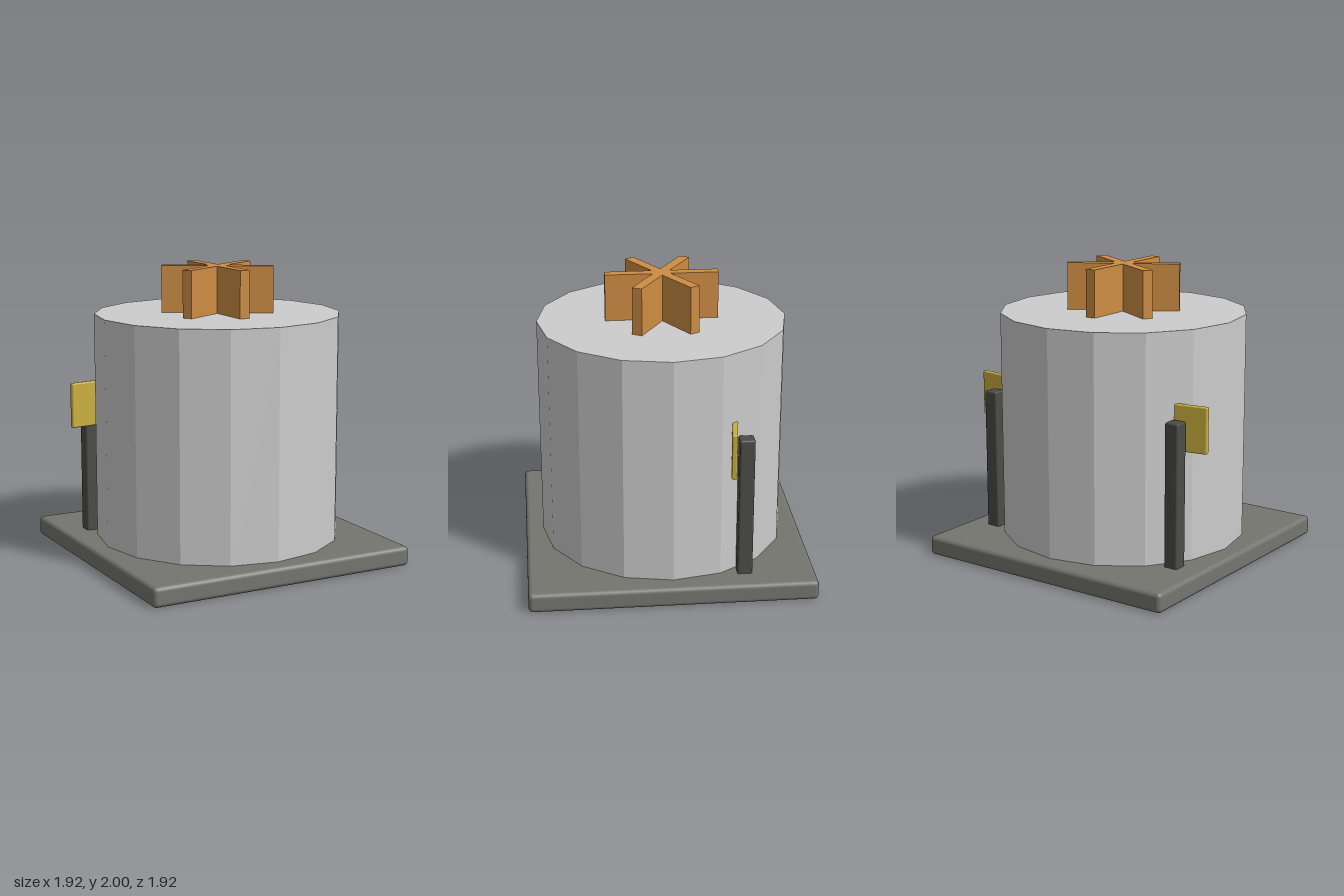
import * as THREE from 'three';
import { RoundedBoxGeometry } from 'three/addons/geometries/RoundedBoxGeometry.js';

function material(name, color, flatShading = false) {
  const m = new THREE.MeshStandardMaterial({ color, flatShading });
  m.name = name;
  return m;
}

export function createModel() {
  const group = new THREE.Group();
  const lightGrey = material('light grey', 0xcccccc, true);
  const stoneGrey = material('stone grey', 0x757570);
  const darkGrey = material('dark grey', 0x4b4c47);
  const orange = material('orange', 0xcd8d43);
  const yellow = material('yellow', 0xcbb03e);

  const add = (name, geometry, mat, x, y, z, turn = 0) => {
    const mesh = new THREE.Mesh(geometry, mat);
    mesh.name = name;
    mesh.position.set(x, y, z);
    mesh.rotation.y = turn;
    group.add(mesh);
  };

  // Square slab with softened edges
  add('base', new RoundedBoxGeometry(1.92, 0.135, 1.92, 3, 0.03), stoneGrey, 0, 0.0675, 0);

  // Sixteen-sided drum, sunk into the slab
  add('drum', new THREE.CylinderGeometry(0.84, 0.84, 1.64, 16), lightGrey, 0, 0.86, 0);

  // Three crossed bars make the six-armed star on top
  const bar = new THREE.BoxGeometry(0.07, 0.32, 0.76);
  for (let i = 0; i < 3; i++) add('starBar' + (i + 1), bar, orange, 0, 1.84, 0, i * Math.PI / 3);

  // Rear posts, each carrying a slightly turned sign plate
  const post = new RoundedBoxGeometry(0.1, 1.025, 0.1, 2, 0.012);
  const plate = new RoundedBoxGeometry(0.36, 0.31, 0.036, 2, 0.01);
  for (const [side, s] of [['left', 1], ['right', -1]]) {
    add(side + 'Post', post, darkGrey, s * 0.75, 0.5925, -0.485);
    add(side + 'Plate', plate, yellow, s * 0.75, 1.05, -0.405, -s * 0.138);
  }
  return group;
}
